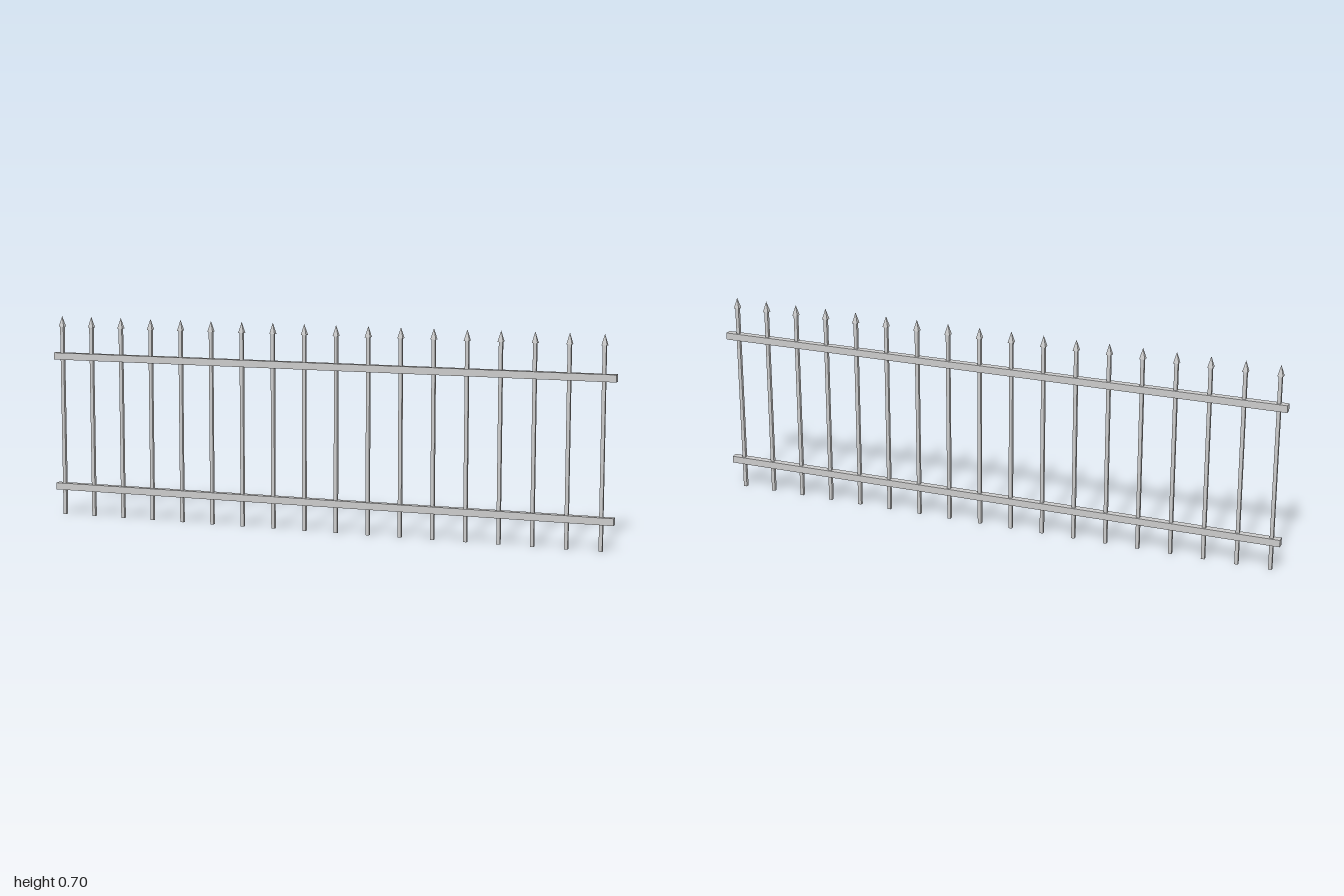
import * as THREE from 'three';

export function createModel() {
  const fence = new THREE.Group();
  fence.name = 'fence';
  const material = new THREE.MeshStandardMaterial({ color: 0xcccccc, flatShading: true });

  function add(parent, name, geometry, y) {
    const mesh = new THREE.Mesh(geometry, material);
    mesh.name = name;
    mesh.position.y = y;
    parent.add(mesh);
  }

  // Two horizontal rails
  const railGeometry = new THREE.BoxGeometry(2, 0.024, 0.024);
  add(fence, 'lowerRail', railGeometry, 0.1);
  add(fence, 'upperRail', railGeometry, 0.564);

  // Evenly spaced pickets, each a square bar with a four-sided pointed tip
  const count = 18, firstX = -0.97, spacing = 0.1134;
  const barHeight = 0.668, tipHeight = 0.037;
  const barGeometry = new THREE.BoxGeometry(0.012, barHeight, 0.012);
  const tipGeometry = new THREE.ConeGeometry(0.0095 * Math.SQRT2, tipHeight, 4).rotateY(Math.PI / 4);
  for (let i = 0; i < count; i++) {
    const picket = new THREE.Group();
    picket.name = `picket${i + 1}`;
    picket.position.set(firstX + i * spacing, 0, 0.0005);
    add(picket, 'bar', barGeometry, barHeight / 2);
    add(picket, 'tip', tipGeometry, barHeight + tipHeight / 2);
    fence.add(picket);
  }
  return fence;
}
